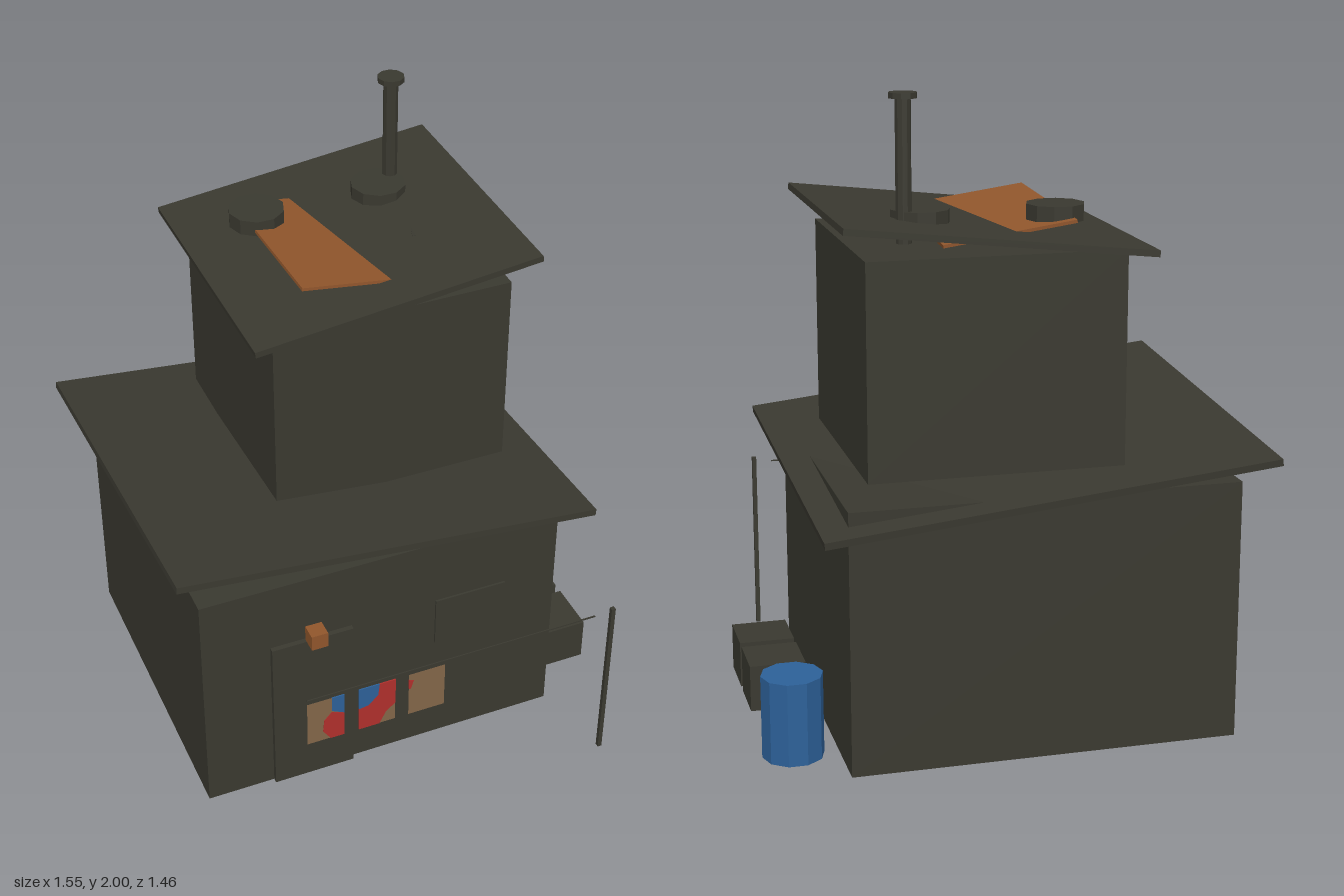
import * as THREE from 'three';

const mat = (name, color, extra = {}) => {
  const m = new THREE.MeshStandardMaterial({ color, flatShading: true, ...extra });
  m.name = name;
  return m;
};

export function createModel() {
  const root = new THREE.Group();
  root.name = 'shack';
  const dark = mat('darkWood', 0x3a3930);
  const rust = mat('rust', 0x91562c);
  const blue = mat('blue', 0x2d6199);
  const cloth = mat('tanCloth', 0x836649, { side: THREE.DoubleSide });
  const red = mat('red', 0xb0302c);

  const add = (name, geometry, material, x, y, z) => {
    const mesh = new THREE.Mesh(geometry, material);
    mesh.name = name;
    mesh.position.set(x, y, z);
    root.add(mesh);
    return mesh;
  };
  // Box given by its lower and upper limits on each axis
  const box = (name, m, [x0, x1], [y0, y1], [z0, z1]) =>
    add(name, new THREE.BoxGeometry(x1 - x0, y1 - y0, z1 - z0), m,
      (x0 + x1) / 2, (y0 + y1) / 2, (z0 + z1) / 2);
  // Flat sheet tilted front-to-back (rx), then side-to-side (rz)
  const sheet = (name, m, size, pos, rx, rz, ry = 0) => {
    const s = add(name, new THREE.BoxGeometry(...size), m, ...pos);
    s.rotation.set(rx, ry, rz, 'ZXY');
    return s;
  };
  // Upright ten-sided drum
  const drum = (name, m, r, y0, y1, x, z) => {
    const g = new THREE.CylinderGeometry(r, r, y1 - y0, 10);
    g.rotateY(Math.PI / 2);
    return add(name, g, m, x, (y0 + y1) / 2, z);
  };

  // Two storeys and their crooked roofs
  box('lowerStorey', dark, [-0.68, 0.535], [0, 0.825], [-0.645, 0.445]);
  box('upperStorey', dark, [-0.32, 0.465], [0.89, 1.545], [-0.595, 0.173]);
  sheet('lowerRoof', dark, [1.402, 0.022, 1.25], [-0.0725, 0.8725, -0.105], -0.07, -0.104);
  sheet('upperRoof', dark, [0.94, 0.02, 0.89], [0.0725, 1.5925, -0.215], 0, 0.112);

  // Roof patches, vents and chimney
  sheet('rustyPatch', rust, [0.412, 0.01, 0.582], [0.007, 1.599, -0.19], -0.045, -0.14);
  sheet('smallPatch', dark, [0.15, 0.012, 0.085], [0.325, 1.613, -0.095], 0.02, -0.06, -0.28);
  drum('leftVent', dark, 0.09, 1.605, 1.655, 0.252, -0.37);
  drum('rightVent', dark, 0.09, 1.605, 1.655, -0.163, -0.37);
  drum('chimneyPipe', dark, 0.024, 1.56, 1.99, 0.31, -0.408);
  drum('chimneyCap', dark, 0.043, 1.983, 2, 0.31, -0.408);

  // Front fittings
  box('door', dark, [-0.455, -0.18], [0, 0.585], [0.44, 0.462]);
  box('windowShutter', dark, [0.11, 0.355], [0.41, 0.588], [0.44, 0.452]);
  box('lamp', rust, [-0.345, -0.29], [0.6, 0.655], [0.465, 0.52]);

  // Barrel and crates beside the house
  drum('barrel', blue, 0.096, 0, 0.263, 0.675, -0.435);
  for (const z of [0.01, 0.2225])
    box('crate', dark, [0.57, 0.75], [0, 0.152], [z - 0.0885, z + 0.0885]);

  // Washing line
  box('linePole', dark, [0.593, 0.607], [0, 0.613], [0.713, 0.727]);
  box('washingLine', dark, [-0.44, 0.54], [0.595, 0.599], [0.714, 0.718]);

  // Hanging cloths, with dyed areas given as outlines in fractions of the cloth
  const cloths = [
    { x: -0.44, areas: [
      [blue, [[0.66, 1], [1, 1], [1, 0.55], [0.66, 0.68]]],
      [red, [[0.66, 0.65], [1, 0.55], [1, 0], [0.62, 0], [0.42, 0.22], [0.45, 0.48]]],
    ] },
    { x: -0.27, areas: [
      [blue, [[0, 1], [0.56, 1], [0.52, 0.74], [0.26, 0.55], [0, 0.52]]],
      [red, [[0.56, 1], [1, 1], [1, 0.42], [0.74, 0.26], [0.56, 0], [0, 0], [0, 0.52], [0.26, 0.55], [0.52, 0.74]]],
    ] },
    { x: -0.103, areas: [
      [red, [[0, 0.87], [0.13, 0.84], [0.05, 0.65], [0, 0.65]]],
    ] },
  ];
  const w = 0.122, h = 0.168, y0 = 0.413, zc = 0.716;
  for (const { x, areas } of cloths) {
    add('cloth', new THREE.PlaneGeometry(w, h), cloth, x + w / 2, y0 + h / 2, zc);
    for (const [m, outline] of areas) {
      const shape = new THREE.Shape(outline.map(([u, v]) => new THREE.Vector2(u * w, v * h)));
      add('clothDye', new THREE.ExtrudeGeometry(shape, { depth: 0.004, bevelEnabled: false }),
        m, x, y0, zc - 0.002);
    }
  }
  return root;
}
